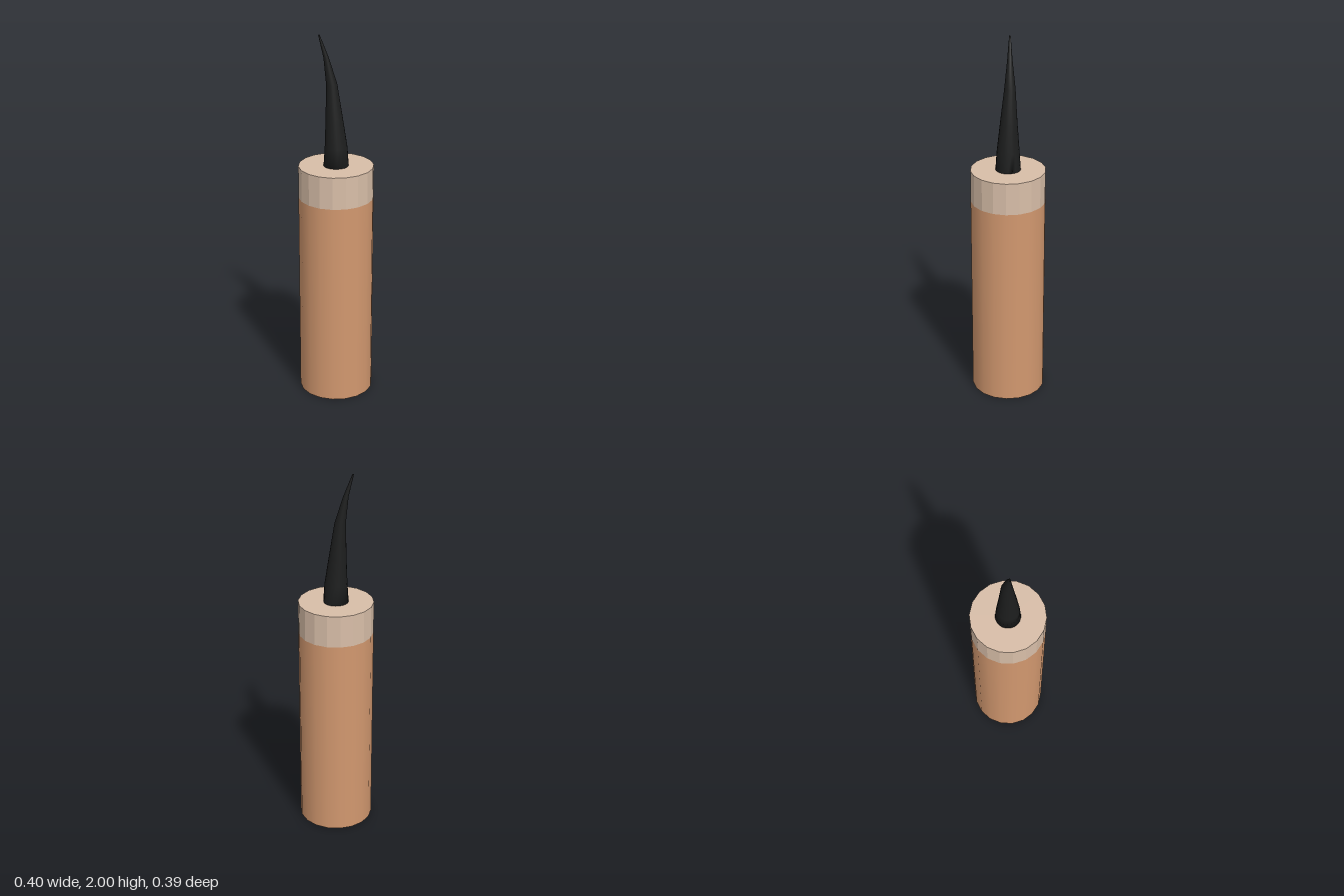
import * as THREE from 'three';

const material = (name, color, extra = {}) =>
  Object.assign(new THREE.MeshStandardMaterial({ color, ...extra }), { name });

// Tapered tube through rings of [x, y, z, radius], closed at both ends
function taperedTube(rings, sides) {
  const pos = [], index = [];
  for (const [x, y, z, r] of rings)
    for (let i = 0; i < sides; i++) {
      const a = (i / sides) * Math.PI * 2;
      pos.push(x + r * Math.cos(a), y, z + r * Math.sin(a));
    }
  for (let k = 0; k < rings.length - 1; k++)
    for (let i = 0; i < sides; i++) {
      const a = k * sides + i, b = k * sides + (i + 1) % sides;
      index.push(a, a + sides, b, b, a + sides, b + sides);
    }
  const top = (rings.length - 1) * sides;
  for (let i = 1; i < sides - 1; i++) {
    index.push(0, i, i + 1);
    index.push(top, top + i + 1, top + i);
  }
  const geo = new THREE.BufferGeometry();
  geo.setAttribute('position', new THREE.Float32BufferAttribute(pos, 3));
  geo.setIndex(index);
  geo.computeVertexNormals();
  return geo;
}

export function createModel() {
  const group = new THREE.Group();
  const add = (name, geo, mat) => {
    const mesh = new THREE.Mesh(geo, mat);
    mesh.name = name;
    group.add(mesh);
    return mesh;
  };

  const tan = material('tan', 0xd2986f);
  const cream = material('cream', 0xd8bea8);
  const black = material('black', 0x1d1e1e);
  cream.flatShading = true;

  // Smooth body and faceted collar share the same 18 sides
  const cylinder = (y0, y1) =>
    new THREE.CylinderGeometry(0.2, 0.2, y1 - y0, 18).rotateY(Math.PI / 2).translate(0, (y0 + y1) / 2, 0);
  add('body', cylinder(0, 1.125), tan);
  add('collar', cylinder(1.125, 1.3), cream);

  // Bent tip leaning towards the right and back
  add('wick', taperedTube([
    [0, 1.295, 0, 0.067],
    [0, 1.4, 0, 0.06],
    [-0.008, 1.56, -0.006, 0.045],
    [-0.018, 1.74, -0.015, 0.029],
    [-0.045, 1.88, -0.023, 0.014],
    [-0.08, 2, -0.034, 0.004],
  ], 20), black);

  return group;
}
